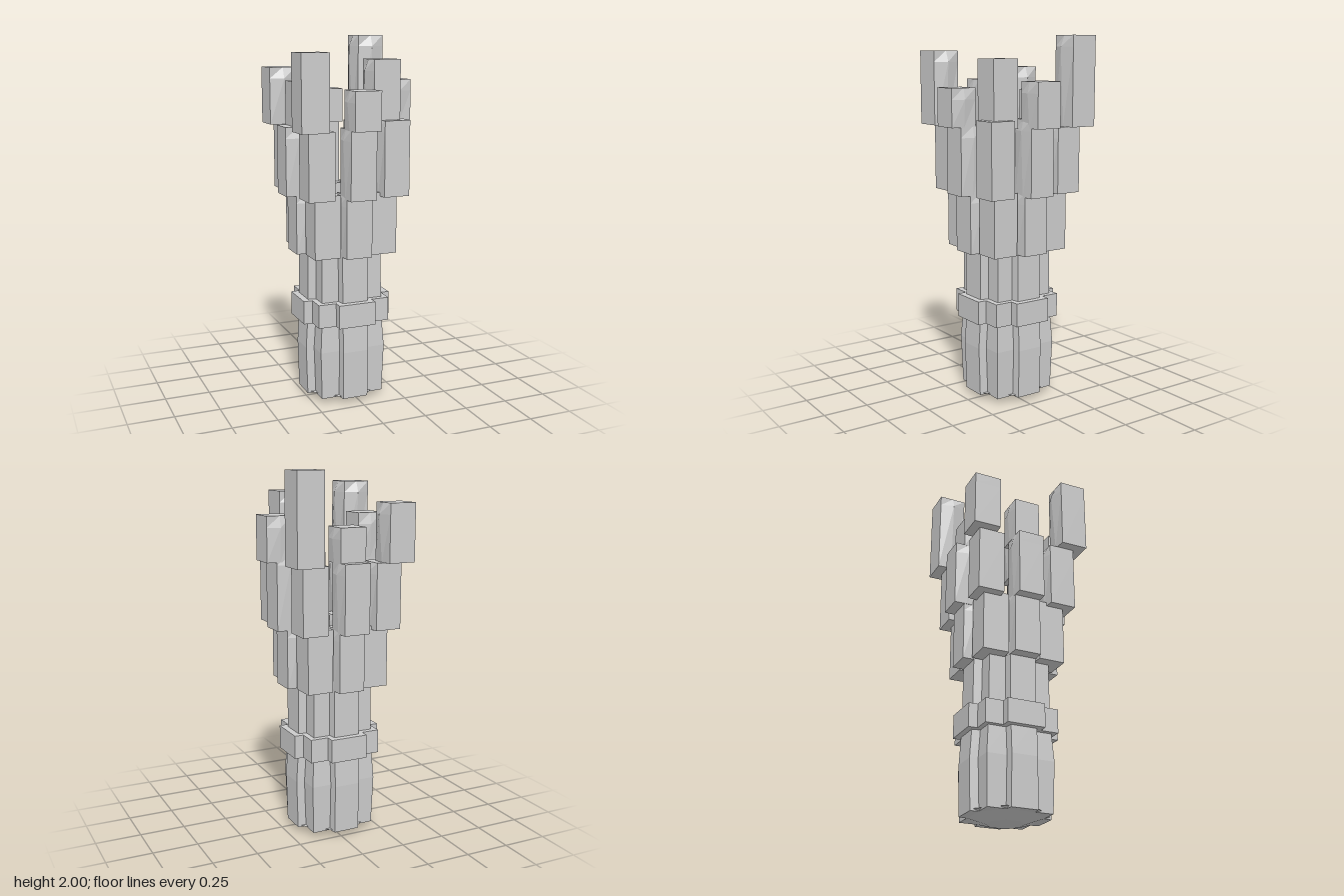
import * as THREE from 'three';

const material = new THREE.MeshStandardMaterial({ color: 0xcccccc, flatShading: true });

// Closed solid from stacked rings of [x, y, z] points
function loft(rings) {
  const pos = [], n = rings[0].length;
  const tri = (a, b, c) => pos.push(...a, ...b, ...c);
  const centre = r => [0, 1, 2].map(k => r.reduce((s, p) => s + p[k], 0) / n);
  const low = rings[0], high = rings[rings.length - 1];
  const cLow = centre(low), cHigh = centre(high);
  for (let i = 0; i < n; i++) {
    const j = (i + 1) % n;
    for (let r = 0; r < rings.length - 1; r++) {
      const a = rings[r], b = rings[r + 1];
      tri(a[i], a[j], b[j]);
      tri(a[i], b[j], b[i]);
    }
    tri(cLow, low[j], low[i]);
    tri(cHigh, high[i], high[j]);
  }
  const g = new THREE.BufferGeometry();
  g.setAttribute('position', new THREE.Float32BufferAttribute(pos, 3));
  g.computeVertexNormals();
  return g;
}

// Six-sided plans: o = outer face, i = inner face, h = half width, b = bulge
function sidePlan(o, i, b, h = 0.0725) {
  const m = (o + i) / 2;
  return [[-h, o], [h, o], [h + b, m], [h, i], [-h, i], [-h - b, m]];
}
function cornerPlan(o, i, b) {
  const m = (o + i) / 2;
  return [[i, o], [o, o], [o, i], [m, i - b], [i, i], [i - b, m]];
}
const ring = (plan, y) => plan.map(([x, z]) => [x, y, z]);

// Block that swells towards a shoulder just below its top
function block(plan, o, y0, y1, bulge, size = 0.145) {
  const i = o - size;
  return loft([
    ring(plan(o, i, bulge * 0.2), y0),
    ring(plan(o, i, bulge), y1 - 0.06),
    ring(plan(o, i, 0), y1),
  ]);
}

// Stave whose outer face follows [y, outer] steps
const stave = (plan, inner, steps) =>
  loft(steps.map(([y, o]) => ring(plan(o, inner, 0.012), y)));

export function createModel() {
  const model = new THREE.Group();
  const body = new THREE.Group();
  body.name = 'body';
  body.position.set(-0.03, 0, -0.03);
  model.add(body);

  const add = (name, geometry, turn = 0) => {
    const mesh = new THREE.Mesh(geometry, material);
    mesh.name = name;
    mesh.rotation.y = turn * Math.PI / 2;
    body.add(mesh);
    return mesh;
  };

  // Core and chamfered foot
  add('core', new THREE.BoxGeometry(0.2, 0.8, 0.2)).position.y = 0.44;
  add('foot', new THREE.CylinderGeometry(0.225, 0.1, 0.04, 8, 1, false, Math.PI / 8)).position.y = 0.02;

  // Top finger sizes, per quarter turn from the front
  const sideOuter = [0.39, 0.39, 0.285, 0.285];
  const sideTop = [1.73, 1.765, 1.71, 1.765];
  const sideMid = [1.53, 1.57, 1.53, 1.53];
  const cornerOuter = [0.245, 0.34, 0.335, 0.34];
  const cornerTop = [1.88, 2, 1.83, 1.92];
  const cornerMid = [1.565, 1.52, 1.52, 1.52];
  const bandPlan = (o, i, b) => sidePlan(o, i, b, 0.105);

  for (let k = 0; k < 4; k++) {
    // Handle staves and the shaft above the band
    add('sideStave', stave(sidePlan, 0.07, [[0.03, 0.225], [0.3, 0.232], [0.5, 0.22], [0.845, 0.218]]), k);
    add('cornerStave', stave(cornerPlan, 0.04, [[0.03, 0.18], [0.3, 0.188], [0.5, 0.175], [0.845, 0.172]]), k);

    // Band
    add('sideBand', block(bandPlan, 0.255, 0.45, 0.58, 0), k);
    add('cornerBand', block(cornerPlan, 0.205, 0.45, 0.58, 0), k);

    // Lower, middle and upper fingers, each stepping outwards
    add('lowerSideFinger', block(sidePlan, 0.28, 0.84, 1.18, 0.014), k);
    add('lowerCornerFinger', block(cornerPlan, 0.235, 0.84, 1.18, 0.025), k);
    add('middleSideFinger', block(sidePlan, 0.335, 1.16, sideMid[k], 0.014), k);
    add('middleCornerFinger', block(cornerPlan, 0.285, 1.16, cornerMid[k], 0.028), k);
    add('upperSideFinger', block(sidePlan, sideOuter[k], 1.525, sideTop[k], 0.014), k);
    add('upperCornerFinger', block(cornerPlan, cornerOuter[k], 1.52, cornerTop[k], 0.025, 0.15), k);
  }
  return model;
}
